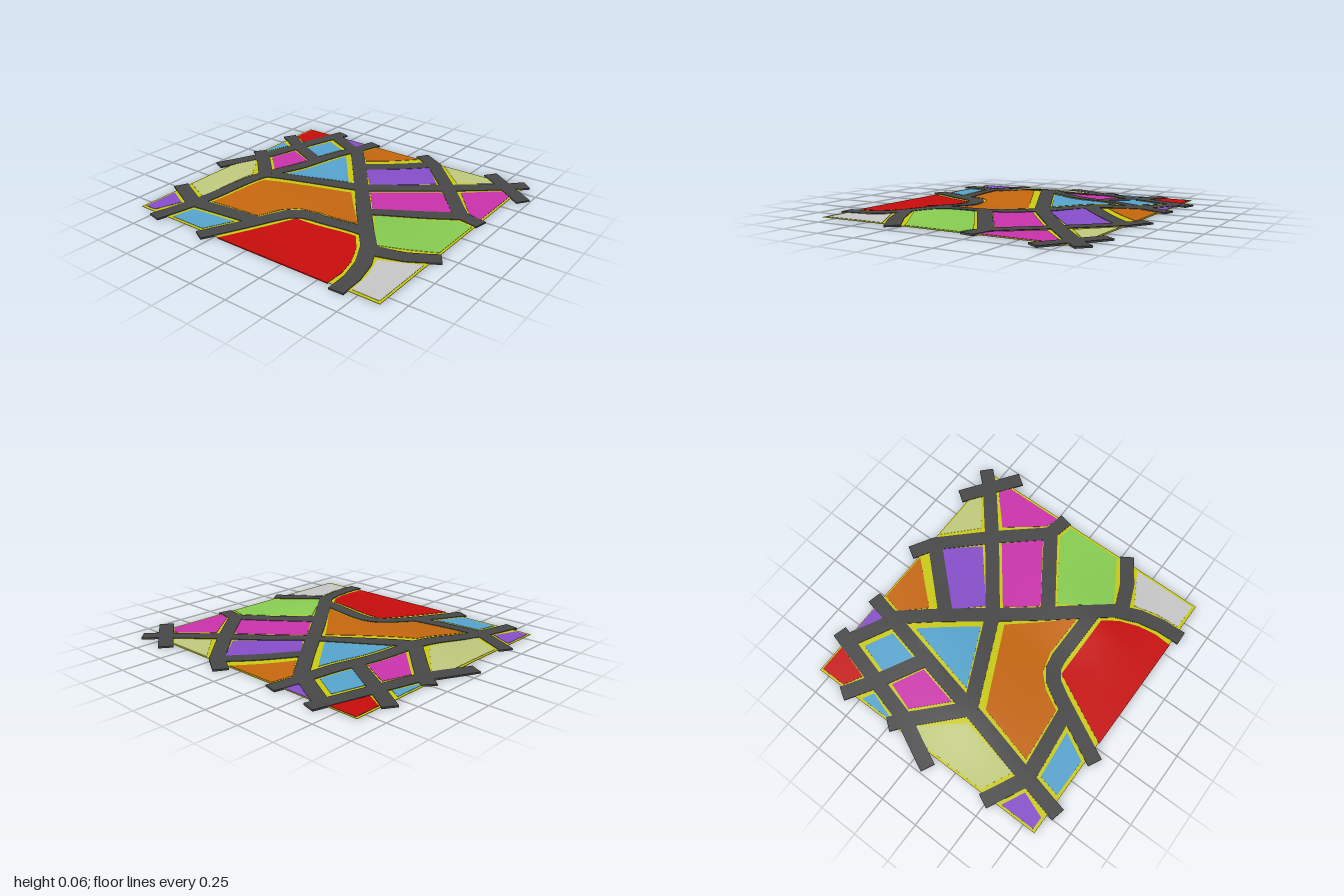
import * as THREE from 'three';
import { mergeVertices, toCreasedNormals } from 'three/addons/utils/BufferGeometryUtils.js';

const paint = (name, color) => {
  const m = new THREE.MeshStandardMaterial({ color, side: THREE.DoubleSide });
  m.name = name;
  return m;
};

// Gentle hills: [height, x, z, spread in x, spread in z]
const HILLS = [
  [0.044, -0.5, 0.15, 0.09, 0.1],
  [0.018, -0.14, 0.12, 0.05, 0.1],
  [0.036, 0.43, 0.33, 0.07, 0.08],
  [0.024, -0.25, -0.42, 0.1, 0.06],
];
function ground(x, z) {
  const fade = Math.max(0, 1 - Math.abs(x / 0.95) ** 6) * Math.max(0, 1 - Math.abs(z / 0.95) ** 6);
  return fade * HILLS.reduce((s, [h, a, b, p, q]) =>
    s + h * Math.exp(-((x - a) ** 2) / p - ((z - b) ** 2) / q), 0);
}

// Thin slab with a plan outline [x, z], draped over the hills between two offsets
function drape(outline, low, high) {
  const pts = outline.map(([x, z]) => new THREE.Vector2(x, z));
  if (THREE.ShapeUtils.isClockWise(pts)) pts.reverse();
  const tris = [];
  const split = (a, b, c) => {
    const d = [a.distanceTo(b), b.distanceTo(c), c.distanceTo(a)];
    const longest = Math.max(...d);
    if (longest < 0.06) { tris.push([a, c, b]); return; }
    if (d[1] === longest) [a, b, c] = [b, c, a];
    else if (d[0] !== longest) [a, b, c] = [c, a, b];
    const m = a.clone().add(b).multiplyScalar(0.5);
    split(a, m, c);
    split(m, b, c);
  };
  for (const [i, j, k] of THREE.ShapeUtils.triangulateShape(pts, [])) {
    const [a, b, c] = [pts[i], pts[j], pts[k]];
    const area = (b.x - a.x) * (c.y - a.y) - (b.y - a.y) * (c.x - a.x);
    if (area > 0) split(a, b, c); else split(a, c, b);
  }

  const pos = [];
  const put = (off, ...ps) => ps.forEach((p) => pos.push(p.x, ground(p.x, p.y) + off, p.y));
  const key = (a, b) => [a.x, a.y, b.x, b.y].map((n) => n.toFixed(5)).join();
  const edges = new Set();
  for (const [a, b, c] of tris) {
    put(high, a, b, c);
    put(low, a, c, b);
    edges.add(key(a, b)).add(key(b, c)).add(key(c, a));
  }
  // Walls where an edge has no neighbour
  for (const [a, b, c] of tris) {
    for (const [p, q] of [[a, b], [b, c], [c, a]]) {
      if (edges.has(key(q, p))) continue;
      put(high, p); put(low, p); put(low, q);
      put(high, p); put(low, q); put(high, q);
    }
  }
  const g = new THREE.BufferGeometry();
  g.setAttribute('position', new THREE.Float32BufferAttribute(pos, 3));
  return toCreasedNormals(mergeVertices(g, 1e-5), 0.6);
}

// Outline of a road of constant width along a bent line, with mitred corners
function strip(line, width) {
  const p = line.map(([x, z]) => new THREE.Vector2(x, z));
  const left = [], right = [];
  p.forEach((v, i) => {
    const d0 = v.clone().sub(p[Math.max(i - 1, 0)]).normalize();
    const d1 = p[Math.min(i + 1, p.length - 1)].clone().sub(v).normalize();
    const t = d0.clone().add(d1).normalize();
    const along = i ? d0 : d1;
    const r = width / 2 / Math.max(0.5, t.dot(along));
    left.push([v.x - t.y * r, v.y + t.x * r]);
    right.unshift([v.x + t.y * r, v.y - t.x * r]);
  });
  return [...left, ...right];
}

const PLOTS = {
  red: [
    [[-0.86, -0.81], [-0.68, -0.81], [-0.75, -0.58], [-0.86, -0.64]],
    [[-0.22, 0.835], [0, 0.4], [0.43, 0.4], [0.5, 0.49], [0.55, 0.61], [0.57, 0.72], [0.565, 0.835]],
  ],
  orange: [
    [[-0.25, -0.81], [0.1, -0.81], [-0.15, -0.53], [-0.28, -0.68]],
    [[0.05, -0.08], [0.35, 0.27], [0.07, 0.265], [-0.06, 0.3], [-0.14, 0.38], [-0.21, 0.51],
      [-0.56, 0.54], [-0.47, 0.17]],
  ],
  blue: [
    [[-0.86, -0.49], [-0.79, -0.45], [-0.86, -0.24]],
    [[-0.59, -0.7], [-0.42, -0.61], [-0.47, -0.39], [-0.65, -0.5]],
    [[-0.31, -0.51], [-0.05, -0.19], [-0.43, -0.01]],
    [[-0.59, 0.67], [-0.28, 0.64], [-0.37, 0.81], [-0.62, 0.81]],
  ],
  purple: [
    [[-0.57, -0.815], [-0.35, -0.815], [-0.385, -0.72]],
    [[0.21, -0.76], [0.41, -0.53], [0.08, -0.25], [-0.07, -0.41]],
    [[-0.86, 0.58], [-0.72, 0.65], [-0.78, 0.81], [-0.86, 0.81]],
  ],
  magenta: [
    [[-0.68, -0.4], [-0.49, -0.3], [-0.55, -0.03], [-0.74, -0.22]],
    [[0.8, -0.69], [0.87, -0.64], [0.87, -0.25], [0.78, -0.28], [0.6, -0.51]],
    [[0.5, -0.44], [0.69, -0.24], [0.29, 0.03], [0.14, -0.16]],
  ],
  beige: [
    [[0.31, -0.81], [0.63, -0.81], [0.7, -0.76], [0.51, -0.62]],
    [[-0.8, -0.12], [-0.6, 0.13], [-0.67, 0.52], [-0.86, 0.43], [-0.86, 0.01]],
  ],
  green: [[[0.77, -0.16], [0.87, -0.14], [0.87, 0.23], [0.56, 0.41], [0.36, 0.11]]],
  paleGrey: [[[0.87, 0.39], [0.87, 0.81], [0.7, 0.81], [0.69, 0.66], [0.65, 0.51]]],
};
const COLOURS = {
  red: 0xc60c0c, orange: 0xc4660e, blue: 0x55a2cc, purple: 0x854dc8, magenta: 0xc832aa,
  beige: 0xbec87c, green: 0x86cb50, paleGrey: 0xc5c5c5,
};

const ROADS = [
  [[-0.61, -0.89], [-0.72, -0.5], [-0.8, -0.21], [-0.95, 0.1]],
  [[-0.3, -0.865], [-0.52, 0.08], [-0.71, 0.88]],
  [[-0.91, -0.61], [-0.72, -0.49], [-0.45, -0.34]],
  [[-0.61, -0.8], [-0.33, -0.65]],
  [[-0.33, -0.67], [0.06, -0.18], [0.43, 0.3], [0.54, 0.43], [0.61, 0.58], [0.64, 0.72], [0.645, 0.87]],
  [[-0.89, -0.26], [-0.8, -0.19], [-0.52, 0.09]],
  [[-0.52, 0.09], [0.06, -0.18], [0.5, -0.52], [0.8, -0.77], [0.89, -0.865]],
  [[0.09, -0.88], [0.24, -0.79], [0.5, -0.52], [0.75, -0.23], [0.9, -0.2]],
  [[0.24, -0.8], [-0.12, -0.42]],
  [[0.62, -0.88], [0.97, -0.63]],
  [[0.75, -0.22], [0.3, 0.08]],
  [[0.915, 0.28], [0.75, 0.39], [0.58, 0.46]],
  [[-0.91, 0.48], [-0.65, 0.61], [-0.18, 0.56]],
  [[-0.33, 0.88], [-0.13, 0.49], [-0.07, 0.39], [0, 0.34], [0.08, 0.325], [0.44, 0.33]],
];

export function createModel() {
  const model = new THREE.Group();
  model.name = 'townMap';
  const add = (name, outline, low, high, material) => {
    const mesh = new THREE.Mesh(drape(outline, low, high), material);
    mesh.name = name;
    model.add(mesh);
  };

  // Yellow sheet that shows as kerbs around every plot
  add('kerbSheet', [[-0.875, -0.82], [0.885, -0.82], [0.885, 0.83], [-0.875, 0.83]],
    0.0035, 0.0065, paint('kerbYellow', 0xc8c810));

  // Coloured plots, slightly proud of the sheet on both sides
  for (const [name, list] of Object.entries(PLOTS)) {
    const material = paint(name, COLOURS[name]);
    list.forEach((outline, i) => add(`${name}Plot${i + 1}`, outline, 0.0015, 0.0085, material));
  }

  // Roads
  const asphalt = paint('asphalt', 0x474747);
  ROADS.forEach((line, i) => add(`road${i + 1}`, strip(line, 0.092), 0, 0.0105, asphalt));
  return model;
}
